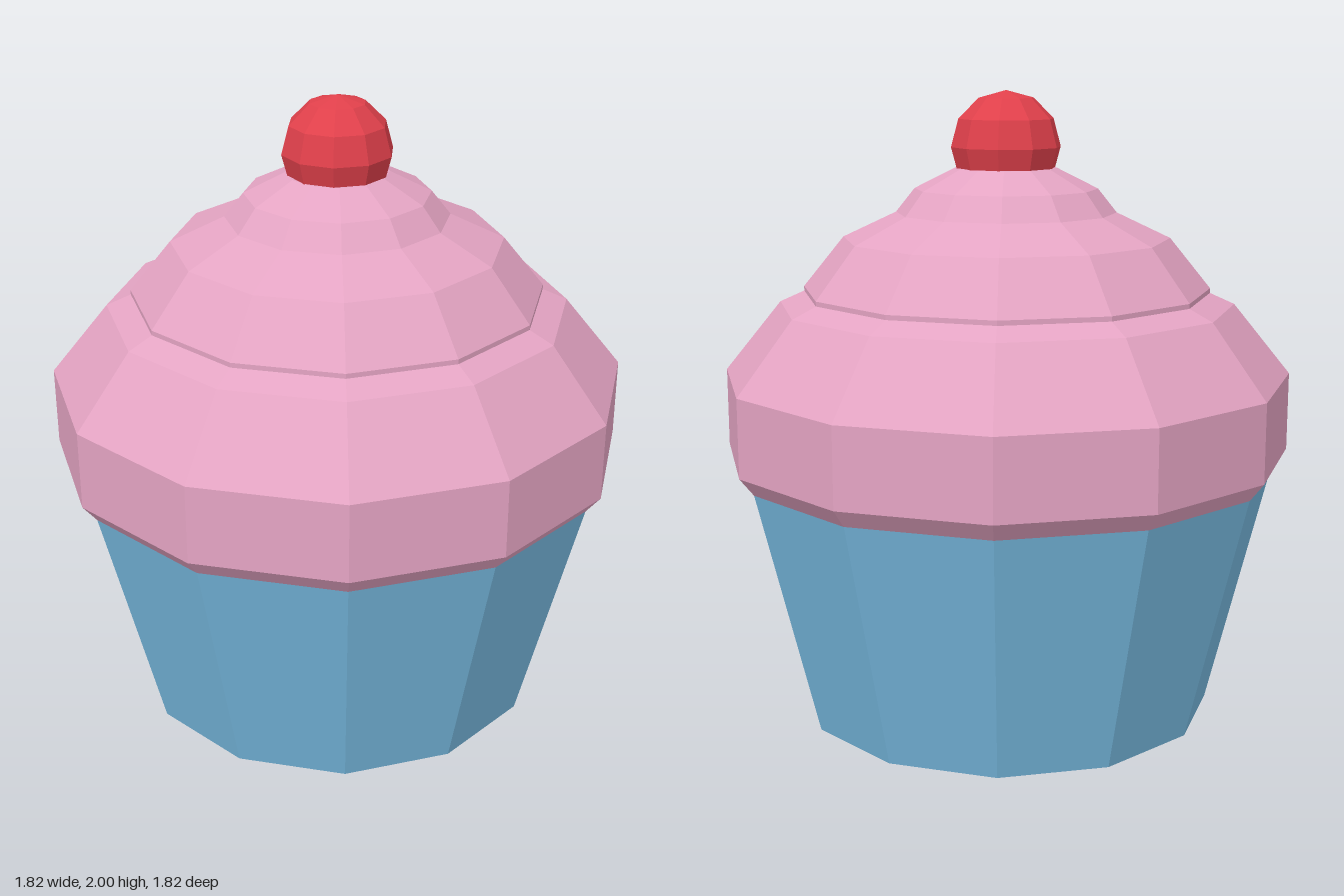
import * as THREE from 'three';

const SIDES = 12;

function material(name, color) {
  const m = new THREE.MeshStandardMaterial({ color, flatShading: true });
  m.name = name;
  return m;
}

function part(name, geometry, mat, y = 0) {
  const mesh = new THREE.Mesh(geometry, mat);
  mesh.name = name;
  mesh.position.y = y;
  return mesh;
}

// Faceted solid turned from [radius, height] pairs, bottom to top
function turned(profile) {
  return new THREE.LatheGeometry(profile.map(([r, y]) => new THREE.Vector2(r, y)), SIDES);
}

export function createModel() {
  const blue = material('wrapper blue', 0x76b8de);
  const pink = material('frosting pink', 0xe4a4c3);
  const red = material('cherry red', 0xe0404b);

  const cupcake = new THREE.Group();
  cupcake.name = 'cupcake';

  // Tapered paper wrapper, closed at the base
  cupcake.add(part('wrapper', new THREE.CylinderGeometry(0.865, 0.667, 0.8, SIDES), blue, 0.4));

  // Frosting in three shrinking swirls
  cupcake.add(part('frosting', turned([
    [0.865, 0.8], [0.91, 0.857], [0.91, 1.106], [0.728, 1.33], // lower swirl
    [0.65, 1.365], [0.65, 1.38], [0.52, 1.54],                 // middle swirl
    [0.35, 1.62], [0.29, 1.695], [0.16, 1.76], [0, 1.76],      // top swirl
  ]), pink));

  // Cherry, sunk a little into the frosting
  const cherry = new THREE.SphereGeometry(0.175, 10, 6).rotateY(Math.PI / 2);
  cupcake.add(part('cherry', cherry, red, 1.825));

  return cupcake;
}
